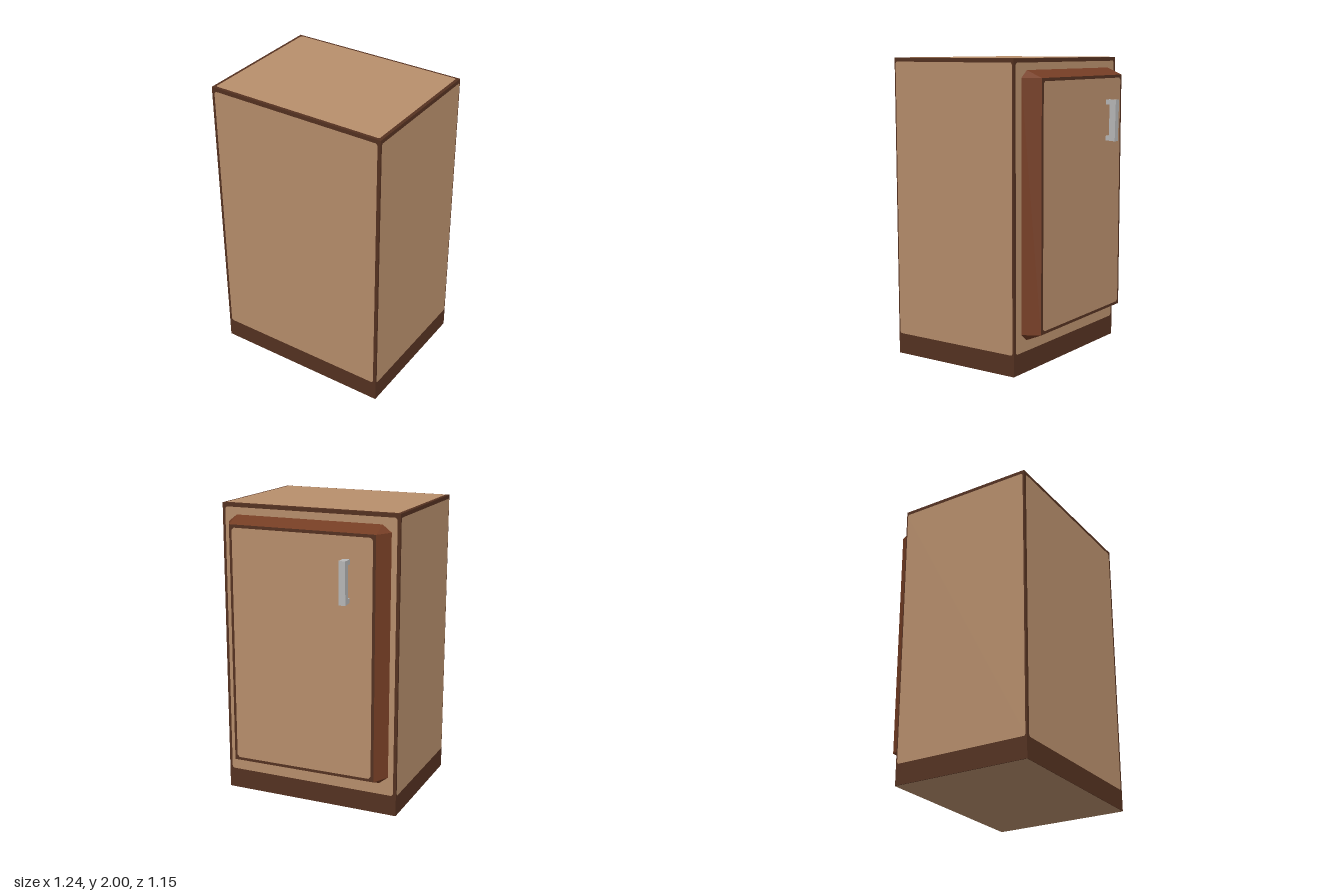
import * as THREE from 'three';

const mat = (name, color) => Object.assign(new THREE.MeshStandardMaterial({ color }), { name });

// Rectangle with small cut corners, centred on the origin
function cutCornerShape(w, h, cx, cy) {
  const x = w / 2, y = h / 2;
  return new THREE.Shape([
    [-x + cx, -y], [x - cx, -y], [x, -y + cy], [x, y - cy],
    [x - cx, y], [-x + cx, y], [-x, y - cy], [-x, -y + cy],
  ].map(([a, b]) => new THREE.Vector2(a, b)));
}

// Sloped door slab facing +z: eight-sided back outline, rectangular front
function doorGeometry(w, h, bevelX, bevelY, depth) {
  const x = w / 2, y = h / 2;
  const back = [], front = [];
  for (const [sx, sy] of [[1, 1], [-1, 1], [-1, -1], [1, -1]]) {
    const side = [sx * (x + bevelX), sy * y, 0], end = [sx * x, sy * (y + bevelY), 0];
    back.push(...(sx * sy > 0 ? [side, end] : [end, side]));
    const corner = [sx * x, sy * y, depth];
    front.push(corner, corner);
  }
  const p = [];
  for (let i = 0; i < 8; i++) {
    const j = (i + 1) % 8;
    p.push(...back[i], ...back[j], ...front[j]);
    if (i % 2) p.push(...back[i], ...front[j], ...front[i]);
  }
  const sides = p.length / 3;
  for (let i = 1; i < 7; i++) p.push(...back[0], ...back[i + 1], ...back[i]);
  p.push(...front[0], ...front[2], ...front[4], ...front[0], ...front[4], ...front[6]);
  const g = new THREE.BufferGeometry();
  g.setAttribute('position', new THREE.Float32BufferAttribute(p, 3));
  g.computeVertexNormals();
  g.addGroup(0, sides, 0);
  g.addGroup(sides, p.length / 3 - sides, 1);
  return g;
}

export function createModel() {
  const model = new THREE.Group();
  model.name = 'cabinet';
  const tan = mat('tan wood', 0xb88f6c);
  const dark = mat('dark brown trim', 0x553221);
  const brown = mat('red brown door edge', 0x753d24);
  const grey = mat('grey metal', 0xb8b8b8);

  const add = (parent, name, geometry, material, pos = [0, 0, 0], rot = [0, 0, 0]) => {
    const m = new THREE.Mesh(geometry, material);
    m.name = name;
    m.position.set(...pos);
    m.rotation.set(...rot);
    parent.add(m);
    return m;
  };

  // Carcass, whose dark edges frame the panels
  const W = 0.62, zF = 0.576, zB = -0.378, zMid = (zF + zB) / 2, D = zF - zB, gap = 0.002;
  add(model, 'body', new THREE.BoxGeometry(W * 2, 2, D), dark, [0, 1, zMid]);

  // Tan panels on each face
  const H = 1.835, yMid = 0.14 + H / 2;
  const wide = new THREE.ShapeGeometry(cutCornerShape(1.2, H, 0.012, 0.012));
  const side = new THREE.ShapeGeometry(cutCornerShape(D - 0.02, H, 0.008, 0.012));
  const top = new THREE.ShapeGeometry(cutCornerShape(1.2, D - 0.034, 0.01, 0.008));
  add(model, 'frontPanel', wide, tan, [0, yMid, zF + gap]);
  add(model, 'backPanel', wide, tan, [0, yMid, zB - gap], [0, Math.PI, 0]);
  for (const s of [1, -1])
    add(model, s > 0 ? 'leftPanel' : 'rightPanel', side, tan, [s * (W + gap), yMid, zMid], [0, s * Math.PI / 2, 0]);
  add(model, 'topPanel', top, tan, [0, 2 + gap, zMid], [-Math.PI / 2, 0, 0]);
  add(model, 'underside', new THREE.PlaneGeometry(W * 2, D), tan, [0, -gap, zMid], [Math.PI / 2, 0, 0]);

  // Door on the back, very slightly ajar
  const door = new THREE.Group();
  door.name = 'door';
  door.position.set(0, 1.075, -0.391);
  door.rotation.y = Math.PI + 0.0115;
  model.add(door);
  const depth = 0.11;
  add(door, 'doorSlab', doorGeometry(1.01, 1.615, 0.06, 0.047, depth), [brown, dark]);
  add(door, 'doorPanel', new THREE.ShapeGeometry(cutCornerShape(0.972, 1.575, 0.016, 0.016)), tan, [0, 0, depth + gap]);

  // Bracket-shaped pull handle
  const bracket = new THREE.Shape([
    [0, 0.14], [0.077, 0.14], [0.072, -0.14], [0, -0.135],
    [0, -0.105], [0.026, -0.105], [0.03, 0.108], [0, 0.108],
  ].map(([a, b]) => new THREE.Vector2(a, b)));
  add(door, 'handle', new THREE.ExtrudeGeometry(bracket, { depth: 0.045, bevelEnabled: false }), grey,
    [0.335, 0.505, depth], [0, -Math.PI / 2, 0]);

  return model;
}
